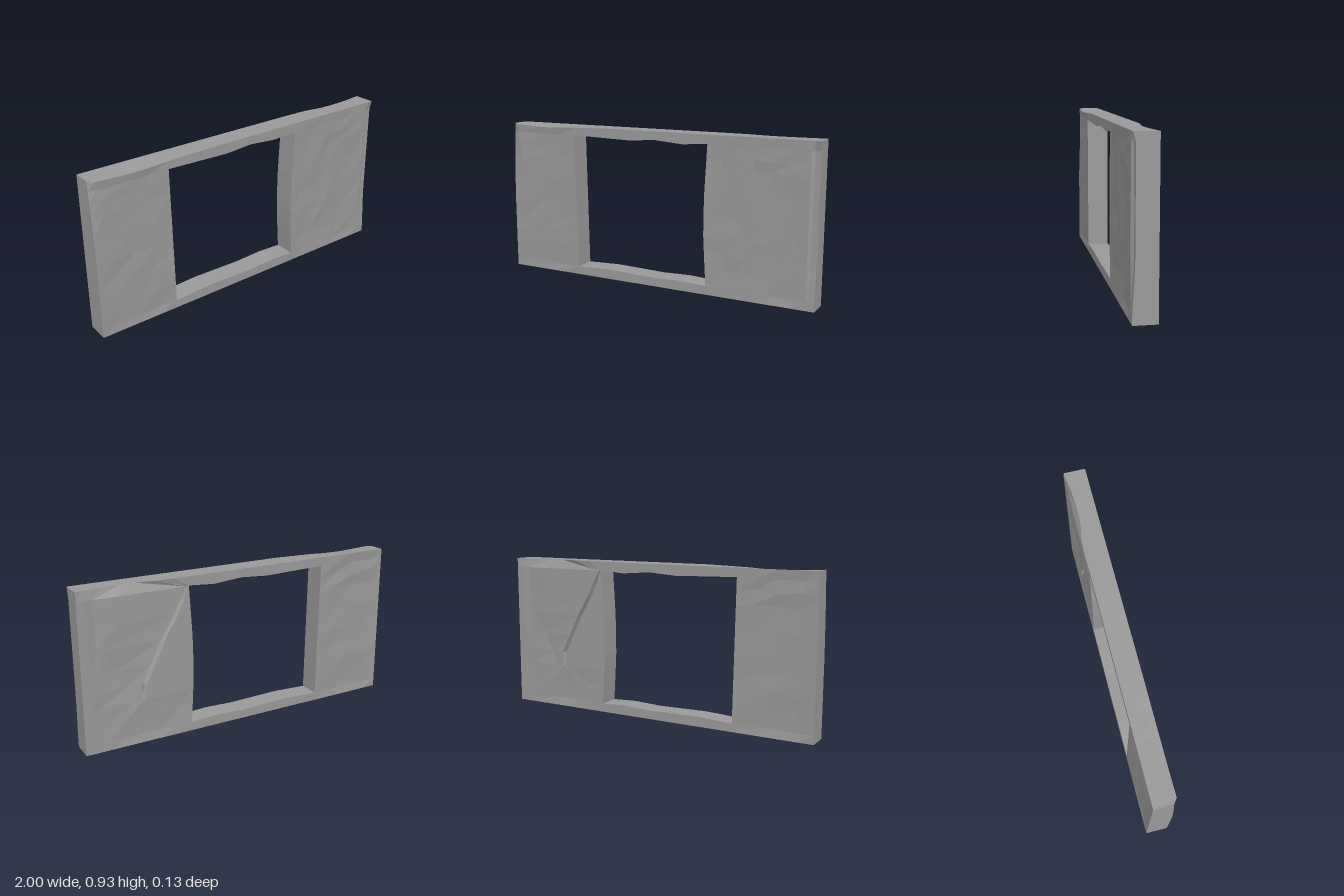
import * as THREE from 'three';

const HALF = 0.065; // half thickness of the slab
const ROWS = [0, 0.05, 0.16, 0.26, 0.35, 0.46, 0.59, 0.72, 0.8, 0.875, 0.93];
const COLS = [-1, -0.9, -0.77, -0.65, -0.53, -0.3, -0.15, 0.02, 0.2, 0.35,
  0.45, 0.55, 0.66, 0.75, 0.86, 0.95, 0.968, 1];
const HOLE_L = 4, HOLE_R = 9, HOLE_B = 1, HOLE_T = 9; // opening, in grid indices
const LAST_ROW = ROWS.length - 1, LAST_COL = COLS.length - 1;

// Piecewise linear curve through [position, value] pairs
function curve(pairs, t) {
  if (t <= pairs[0][0]) return pairs[0][1];
  for (let k = 1; k < pairs.length; k++) {
    const [a, va] = pairs[k - 1], [b, vb] = pairs[k];
    if (t <= b) return va + (vb - va) * (t - a) / (b - a);
  }
  return pairs[pairs.length - 1][1];
}

// Repeatable value from 0 to 1 for the rough facets
function hash(i, j, s) {
  const n = Math.sin(i * 127.1 + j * 311.7 + s * 74.7) * 43758.5453;
  return n - Math.floor(n);
}

const leftJamb = [[0.05, -0.52], [0.875, -0.535]];
const rightJamb = [[0.05, 0.355], [0.2, 0.345], [0.35, 0.337], [0.55, 0.337], [0.875, 0.355]];
const sill = [[-0.52, 0.05], [-0.3, 0.06], [0.02, 0.053], [0.2, 0.06], [0.355, 0.052]];
const lintel = [[-0.535, 0.878], [-0.15, 0.868], [0.02, 0.88], [0.2, 0.866], [0.355, 0.878]];
const crackX = [[0.26, 0.64], [0.35, 0.64], [0.46, 0.585], [0.59, 0.52], [0.72, 0.44], [0.8, 0.4], [0.875, 0.368]];
const crackDepth = [[0.26, 0], [0.35, 0.022], [0.8, 0.022], [0.875, 0.008]];
const dentX = [[0.26, 0.7], [0.35, 0.74], [0.59, 0.87], [0.72, 0.78]];
const dentDepth = [[0.2, 0], [0.35, 0.012], [0.5, 0.012], [0.65, 0]];
const backTopChip = [[0.43, 0], [0.55, 0.004], [0.67, 0.024], [0.82, 0.024], [1, 0]];
const frontTopChip = [[-0.97, 0], [-0.77, 0.014], [-0.65, 0.012], [-0.4, 0]];
const rightEdgeChip = [[0.05, 0], [0.3, 0.014], [0.875, 0.014], [0.92, 0]];
const leftEdgeChip = [[0.5, 0], [0.8, 0.014], [0.93, 0.026]];

// One grid point on the front or back face
function point(i, j, front) {
  let x = COLS[j], y = ROWS[i], inset = 0;
  if (j === HOLE_L) x = curve(leftJamb, y);
  if (j === HOLE_R) x = curve(rightJamb, y);
  if (j >= HOLE_L && j <= HOLE_R) {
    if (i === HOLE_B) y = curve(sill, x);
    if (i === HOLE_T) y = curve(lintel, x);
  }
  // rough facets inside both side panels
  const edge = i === 0 || i === LAST_ROW || j === 0 || j >= 15;
  const nearHole = j >= HOLE_L && j <= HOLE_R;
  const onCrack = !front && j >= 10 && j <= 12 && i >= 3;
  if (!edge && !nearHole) {
    if (!onCrack) inset = 0.008 * hash(i, j, front ? 1 : 2);
    if (j < 10 || (front && j < 15)) {
      x += 0.05 * (hash(i, j, 3) - 0.5);
      if (i > 1 && i < 9) y += 0.04 * (hash(i, j, 4) - 0.5);
    }
  }
  if (front) {
    if (i === LAST_ROW) y -= curve(frontTopChip, x);
    if (j >= 16) inset = curve(rightEdgeChip, y);
    if (j === 0) inset = curve(leftEdgeChip, y);
    if (j === 1) x = curve([[0.5, x], [0.93, -0.97]], y);
  } else if (i === LAST_ROW) {
    inset = curve(backTopChip, x);
  } else {
    // diagonal crack running down from the corner of the opening
    if (onCrack) {
      const width = i === HOLE_T ? 0.006 : 0.014;
      x = curve(crackX, y) + (j - 11) * width;
      if (j === 11) inset = curve(crackDepth, y);
    }
    // slanting dent beside the crack
    if (j === 13 && i >= 3) {
      x = curve(dentX, y);
      inset = curve(dentDepth, y);
    }
    if (j === 14 && i >= 3) x = 0.91;
  }
  return [x, y, front ? HALF - inset : inset - HALF];
}

function makeMesh(name, triangles, material) {
  const geometry = new THREE.BufferGeometry();
  geometry.setAttribute('position', new THREE.Float32BufferAttribute(triangles.flat(), 3));
  geometry.computeVertexNormals();
  const mesh = new THREE.Mesh(geometry, material);
  mesh.name = name;
  return mesh;
}

const quad = (out, a, b, c, d) => out.push(a, b, c, a, c, d);

// Broad face of the slab with the opening left out
function face(front) {
  const out = [];
  for (let i = 0; i < LAST_ROW; i++) {
    for (let j = 0; j < LAST_COL; j++) {
      if (i >= HOLE_B && i < HOLE_T && j >= HOLE_L && j < HOLE_R) continue;
      const a = point(i, j, front), b = point(i, j + 1, front);
      const c = point(i + 1, j + 1, front), d = point(i + 1, j, front);
      if (front) quad(out, a, b, c, d);
      else quad(out, b, a, d, c);
    }
  }
  return out;
}

// Anticlockwise loop of grid indices around a rectangle
function loop(i0, i1, j0, j1) {
  const pts = [];
  for (let j = j0; j < j1; j++) pts.push([i0, j]);
  for (let i = i0; i < i1; i++) pts.push([i, j1]);
  for (let j = j1; j > j0; j--) pts.push([i1, j]);
  for (let i = i1; i > i0; i--) pts.push([i, j0]);
  return pts;
}

// Band joining the front and back faces along a loop
function band(pts) {
  const out = [];
  pts.forEach((p, k) => {
    const q = pts[(k + 1) % pts.length];
    quad(out, point(...p, true), point(...p, false), point(...q, false), point(...q, true));
  });
  return out;
}

export function createModel() {
  const stone = new THREE.MeshStandardMaterial({ color: 0x999999, flatShading: true });
  stone.name = 'grey stone';
  const wall = new THREE.Group();
  wall.name = 'wallWithWindowOpening';
  wall.add(
    makeMesh('frontFace', face(true), stone),
    makeMesh('backFace', face(false), stone),
    makeMesh('outerEdges', band(loop(0, LAST_ROW, 0, LAST_COL)), stone),
    makeMesh('openingReveal', band(loop(HOLE_B, HOLE_T, HOLE_L, HOLE_R).reverse()), stone),
  );
  return wall;
}
